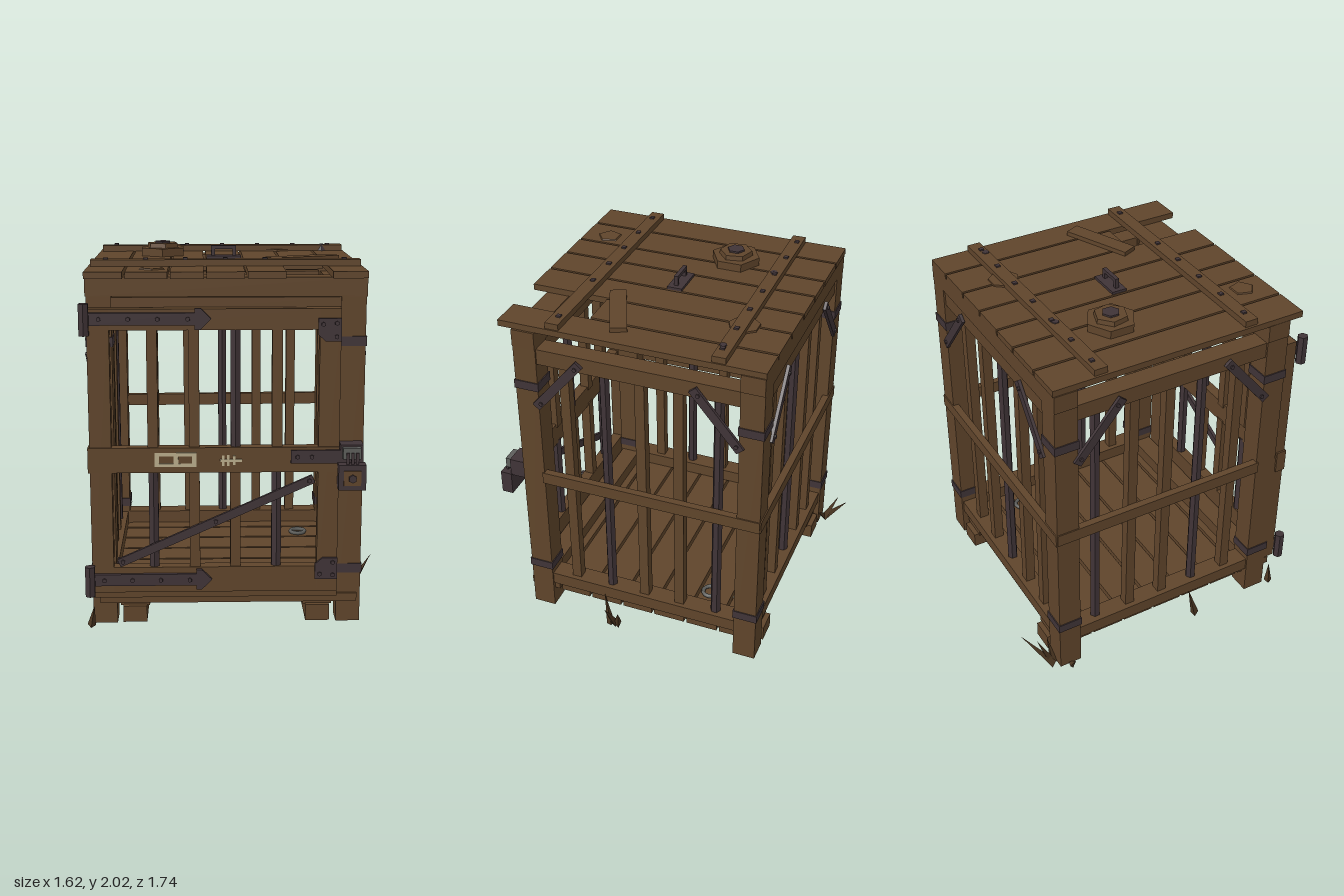
import * as THREE from 'three';

const material = (name, color) => {
  const m = new THREE.MeshStandardMaterial({ color });
  m.name = name;
  return m;
};

export function createModel() {
  const cage = new THREE.Group();
  cage.name = 'woodenCage';
  const wood = material('brown wood', 0x60452b);
  const iron = material('dark iron', 0x403437);
  const steel = material('grey steel', 0x5d5e5b);
  const paint = material('cream paint', 0xb9ad8c);
  const dryWood = material('dark dry wood', 0x4c3722);

  const add = (name, geo, mat, x, y, z, rx = 0, ry = 0, rz = 0) => {
    const mesh = new THREE.Mesh(geo, mat);
    mesh.name = name;
    mesh.position.set(x, y, z);
    mesh.rotation.set(rx, ry, rz);
    cage.add(mesh);
    return mesh;
  };
  const box = (name, mat, w, h, d, x, y, z, rx, ry, rz) =>
    add(name, new THREE.BoxGeometry(w, h, d), mat, x, y, z, rx, ry, rz);
  // Box given by its limits
  const span = (name, mat, x0, x1, y0, y1, z0, z1) =>
    box(name, mat, x1 - x0, y1 - y0, z1 - z0, (x0 + x1) / 2, (y0 + y1) / 2, (z0 + z1) / 2);
  // Faceted prism or cone
  const prism = (name, mat, r0, r1, h, sides, x, y, z, rx, ry, rz) => {
    const geo = new THREE.CylinderGeometry(r0, r1, h, sides).toNonIndexed();
    geo.computeVertexNormals();
    return add(name, geo, mat, x, y, z, rx, ry, rz);
  };
  const plate = (name, mat, points, depth, x, y, z) => {
    const shape = new THREE.Shape(points.map(([a, b]) => new THREE.Vector2(a, b)));
    return add(name, new THREE.ExtrudeGeometry(shape, { depth, bevelEnabled: false }), mat, x, y, z);
  };
  const bolt = (x, y, z) => prism('bolt', iron, 0.012, 0.012, 0.014, 6, x, y, z, Math.PI / 2);
  const wobble = (i) => Math.sin(i * 12.9) * 0.004;

  const cx = -0.045;
  const postX = [-0.705, 0.615];
  const postZ = [-0.625, 0.635];

  // Corner posts with iron bands
  for (const x of postX) for (const z of postZ) {
    box('cornerPost', wood, 0.13, 1.79, 0.13, x, 0.895, z);
    for (const y of [0.305, 1.55]) box('postBand', iron, 0.142, 0.05, 0.142, x, y, z);
  }

  // Skids and floor planks
  for (const x of [-0.545, 0.45]) {
    span('skid', wood, x - 0.065, x + 0.065, 0, 0.09, -0.69, 0.69);
    span('skidCap', wood, x - 0.08, x + 0.08, 0.085, 0.12, -0.66, 0.66);
  }
  const floorGaps = [-0.67, -0.46, -0.26, -0.06, 0.135, 0.335, 0.53, 0.725];
  for (let i = 0; i < 7; i++)
    span('floorPlank', wood, -0.73, 0.66, 0.12, 0.165, floorGaps[i] + 0.008, floorGaps[i + 1] - 0.008);

  // Frame rails on the sides
  for (const x of postX) {
    const out = Math.sign(x);
    span('sideBottomRail', wood, x - 0.055, x + 0.055, 0.165, 0.24, -0.6, 0.6);
    span('sideTopRail', wood, x - 0.055, x + 0.055, 1.69, 1.78, -0.6, 0.6);
    box('sideMiddleRail', wood, 0.04, 0.07, 1.27, x + out * 0.052, 0.957, -0.055, 0.006);
  }
  // Frame rails at front and back, with the beams that carry the roof
  for (const z of postZ) {
    span('crossBottomRail', wood, -0.7, 0.6, 0.165, 0.24, z - 0.055, z + 0.055);
    span('crossTopRail', wood, -0.7, 0.6, 1.69, 1.78, z - 0.055, z + 0.055);
    box('roofBeam', wood, 1.46, 0.1, 0.13, cx, 1.835, z, 0, 0, z > 0 ? -0.004 : 0.004);
  }
  span('frontSill', wood, -0.77, 0.55, 0.155, 0.2, 0.66, 0.725);
  box('backMiddleRail', wood, 1.45, 0.07, 0.04, cx, 0.957, -0.677, 0, 0, 0.005);

  // Vertical bars
  const bar = (metal, x, y0, y1, z, i) => metal
    ? prism('ironBar', iron, 0.029, 0.029, y1 - y0, 6, x, (y0 + y1) / 2, z, 0, 0, wobble(i))
    : box('woodBar', wood, 0.055, y1 - y0, 0.055, x, (y0 + y1) / 2, z, wobble(i + 3), 0, wobble(i));
  [0.43, 0.21, 0, -0.215, -0.43].forEach((z, i) => {
    for (const x of postX) bar(i === 1 || i === 4, x, 0.23, 1.7, z, i);
    bar(i === 2, cx + (i - 2) * 0.215, 0.23, 1.7, postZ[0], i + 5);
  });

  // Diagonal iron braces at the upper corners
  for (const s of [-1, 1]) {
    for (const x of [-0.775, 0.685])
      box('sideBrace', iron, 0.018, 0.41, 0.05, x, 1.59, 0.005 + s * 0.445, -s * 0.695);
    box('backBrace', iron, 0.05, 0.41, 0.018, cx + s * 0.47, 1.59, -0.695, 0, 0, s * 0.695);
    for (const [u, y] of [[0.55, 1.46], [0.34, 1.72]]) {
      for (const x of [-0.786, 0.696])
        prism('bolt', iron, 0.012, 0.012, 0.012, 6, x, y, s * u, 0, 0, Math.PI / 2);
      bolt(cx + s * (u + 0.03), y, -0.706);
    }
  }

  // Door frame and bars
  const z0 = 0.7, z1 = 0.765;
  span('doorHingeStile', wood, -0.765, -0.65, 0.2, 1.73, z0, z1);
  span('doorLatchStile', wood, 0.435, 0.545, 0.2, 1.73, z0, z1);
  span('doorBottomRail', wood, -0.65, 0.435, 0.2, 0.34, z0, z1);
  span('doorTopRail', wood, -0.65, 0.435, 1.62, 1.73, z0, z1);
  span('doorMiddleRail', wood, -0.775, 0.545, 0.865, 1.0, z0 + 0.01, z1 + 0.006);
  [-0.433, -0.216, 0, 0.218].forEach((x, i) => {
    bar(i === 0 || i === 3, x, 0.33, 0.88, 0.73, i);
    bar(i === 2, x, 0.98, 1.63, 0.73, i);
  });

  // Strap hinges
  for (const y of [0.275, 1.68]) {
    prism('hingeBarrel', iron, 0.029, 0.029, 0.165, 6, -0.775, y, 0.795);
    plate('hingeStrap', iron, [[-0.76, -0.032], [-0.21, -0.032], [-0.21, -0.055], [-0.18, -0.055],
      [-0.125, 0], [-0.18, 0.055], [-0.21, 0.055], [-0.21, 0.032], [-0.76, 0.032]], 0.02, 0, y, z1);
    for (const x of [-0.7, -0.55, -0.4, -0.245]) bolt(x, y, 0.788);
  }
  // Door corner plates
  for (const [y, s] of [[1.62, 1], [0.33, -1]]) {
    const pts = [[-0.06, 0.06], [0.06, 0.06], [0.06, -0.06], [-0.02, -0.06], [-0.06, -0.025]];
    const shaped = pts.map(([a, b]) => [a, s * b]);
    plate('cornerPlate', iron, s < 0 ? shaped.reverse() : shaped, 0.014, 0.485, y, z1);
    for (const [a, b] of [[0.035, 0.035], [-0.035, 0.03], [0.035, -0.035]]) bolt(0.485 + a, y + s * b, 0.782);
  }
  // Diagonal door bar
  const slope = Math.atan2(0.46, 1.03);
  box('doorDiagonal', iron, 1.13, 0.045, 0.02, -0.105, 0.6, 0.775, 0, 0, slope);
  for (const t of [-0.48, 0, 0.48]) bolt(-0.105 + t * 1.03, 0.6 + t * 0.46, 0.788);

  // Latch strap, hasp and padlock
  span('latchStrap', iron, 0.29, 0.56, 0.915, 0.985, 0.77, 0.785);
  for (const x of [0.325, 0.4]) bolt(x, 0.95, 0.788);
  span('latchMount', iron, 0.55, 0.67, 0.91, 1.015, 0.695, 0.79);
  span('haspPlate', steel, 0.56, 0.655, 0.945, 1.005, 0.79, 0.825);
  for (const x of [0.585, 0.61, 0.635]) span('haspSlot', iron, x - 0.008, x + 0.008, 0.92, 0.98, 0.82, 0.832);
  span('padlock', iron, 0.535, 0.68, 0.785, 0.92, 0.785, 0.85);
  span('padlockFace', wood, 0.562, 0.653, 0.81, 0.89, 0.848, 0.856);
  prism('padlockBoss', iron, 0.022, 0.022, 0.02, 6, 0.608, 0.85, 0.86, Math.PI / 2);

  // Painted marks on the door's middle rail
  const markZ = 0.774;
  for (const y of [0.907, 0.965]) box('paintedFrame', paint, 0.22, 0.018, 0.007, -0.315, y, markZ);
  for (const x of [-0.413, -0.313, -0.217]) box('paintedFrame', paint, 0.025, 0.075, 0.007, x, 0.936, markZ);
  box('paintedTally', paint, 0.115, 0.013, 0.007, -0.023, 0.931, markZ);
  for (const [x, h] of [[-0.065, 0.055], [-0.038, 0.06], [-0.008, 0.05]])
    box('paintedTally', paint, 0.013, h, 0.007, x, 0.931, markZ);

  // Roof planks, one broken short at the front
  const seams = [-0.78, -0.57, -0.34, -0.155, 0.055, 0.265, 0.49, 0.685];
  for (let i = 0; i < 7; i++)
    span('roofPlank', wood, seams[i] + 0.007, seams[i + 1] - 0.007, 1.885, 1.92,
      -0.695 + wobble(i), i === 5 ? 0.335 : 0.775 + wobble(i + 2));
  // Roof battens and their nails
  for (const [z, turn] of [[-0.43, 0.012], [0.465, -0.006]]) {
    box('roofBatten', wood, 1.43, 0.035, 0.075, cx, 1.937, z, 0, turn, 0);
    for (let i = 0; i < 7; i++)
      if (z < 0 || i !== 5) box('roofNail', iron, 0.024, 0.012, 0.024, -0.68 + i * 0.211, 1.957, z);
  }
  // Loose board, patches and debris on the roof
  box('looseBoard', wood, 0.41, 0.025, 0.09, 0.385, 1.934, 0.22, 0, 0.414, 0);
  prism('roofPatch', wood, 0.085, 0.085, 0.012, 7, 0.28, 1.925, -0.44);
  prism('roofPatch', wood, 0.065, 0.07, 0.008, 5, -0.43, 1.923, 0.63);
  for (const x of [-0.28, 0.55]) prism('ironScrap', iron, 0.02, 0.035, 0.04, 6, x, 1.938, -0.42);

  // Stepped hexagonal cap with a bolt
  prism('capBase', wood, 0.137, 0.137, 0.045, 6, -0.395, 1.942, -0.16);
  prism('capTop', wood, 0.09, 0.095, 0.03, 6, -0.395, 1.975, -0.16, 0, 0.2);
  prism('capBolt', iron, 0.048, 0.048, 0.02, 6, -0.395, 1.99, -0.16);

  // Lifting handle
  span('handlePlate', iron, -0.145, 0.05, 1.92, 1.935, -0.005, 0.08);
  for (const x of [-0.107, 0.012]) span('handleLeg', iron, x - 0.01, x + 0.01, 1.93, 1.985, 0.028, 0.05);
  span('handleGrip', iron, -0.117, 0.022, 1.97, 1.99, 0.028, 0.05);

  // Ring lying on the floor
  add('floorRing', new THREE.TorusGeometry(0.045, 0.012, 6, 12), steel, 0.42, 0.178, -0.33, Math.PI / 2);

  // Splintered spikes around the foot: base x, z then tip x, y, z
  const spikes = [
    [0.7, 0.17, 0.81, 0.2, 0.18], [0.71, 0.19, 0.67, 0.19, 0.24], [0.7, 0.15, 0.76, 0.14, 0.12],
    [-0.73, -0.72, -0.64, 0.22, -0.87], [-0.71, -0.72, -0.7, 0.2, -0.8], [-0.72, -0.71, -0.62, 0.1, -0.7],
    [-0.78, -0.62, -0.81, 0.02, -0.65], [-0.79, 0.2, -0.77, 0.19, 0.16], [-0.78, 0.74, -0.76, 0.12, 0.75],
  ];
  for (const [x, z, tx, ty, tz] of spikes) {
    const dir = new THREE.Vector3(tx - x, ty, tz - z);
    const spike = prism('splinter', dryWood, 0, 0.026, dir.length(), 3, (x + tx) / 2, ty / 2, (z + tz) / 2);
    spike.quaternion.setFromUnitVectors(new THREE.Vector3(0, 1, 0), dir.normalize());
  }

  return cage;
}
